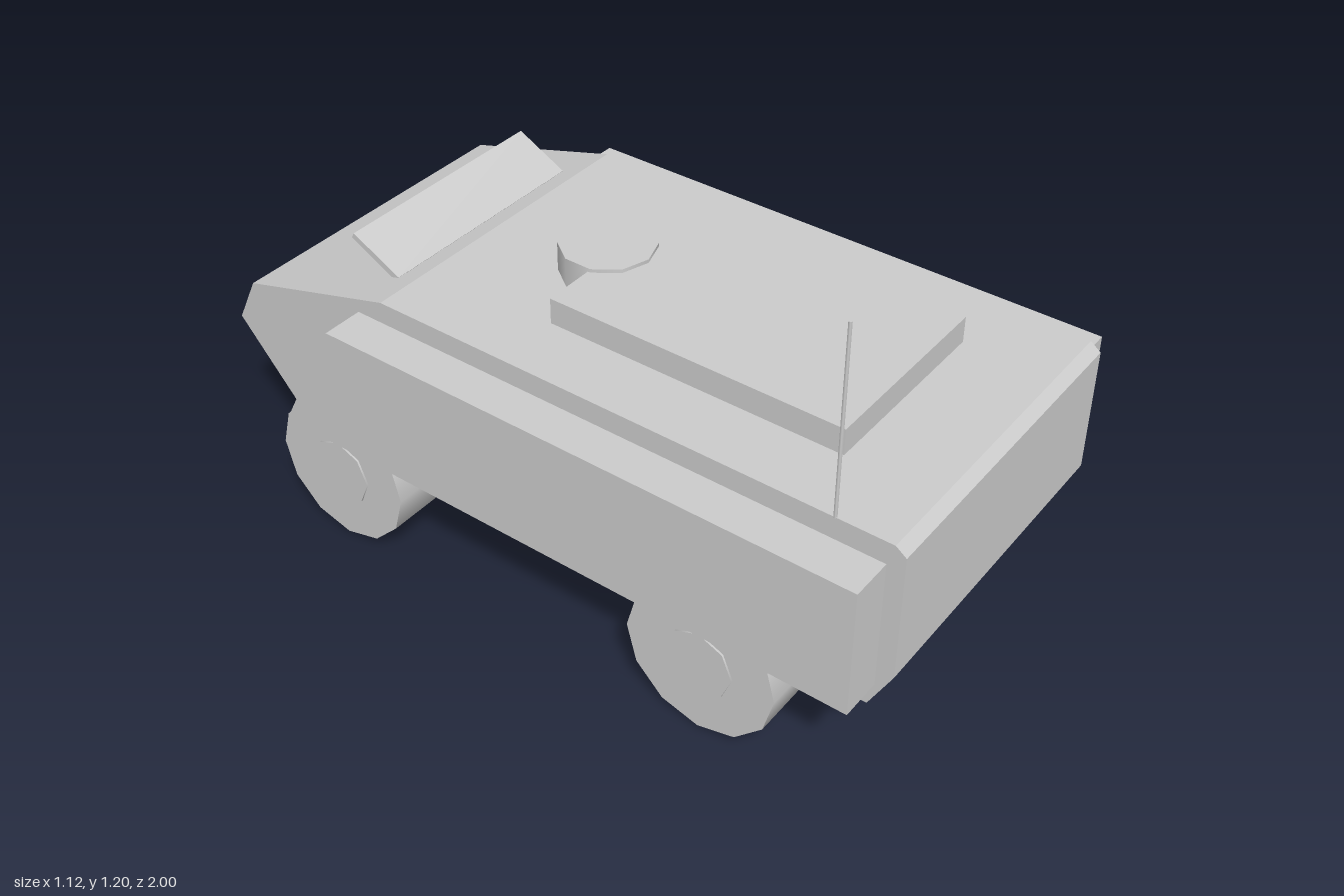
import * as THREE from 'three';

export function createModel() {
  const model = new THREE.Group();
  model.name = 'armouredVehicle';
  const grey = new THREE.MeshStandardMaterial({ color: 0xcccccc });
  grey.name = 'plain grey';

  const add = (name, geometry, x = 0, y = 0, z = 0) => {
    const mesh = new THREE.Mesh(geometry, grey);
    mesh.name = name;
    mesh.position.set(x, y, z);
    model.add(mesh);
    return mesh;
  };

  // Side profile of [z, y] points, extruded across x and centred
  const slab = (points, width) => {
    const shape = new THREE.Shape(points.map(p => new THREE.Vector2(...p)));
    return new THREE.ExtrudeGeometry(shape, { depth: width, bevelEnabled: false })
      .translate(0, 0, -width / 2)
      .rotateY(-Math.PI / 2);
  };

  // Hull with a sloped nose
  add('hull', slab([
    [0.94, 0.228], [1, 0.343], [1, 0.686], [0.972, 0.707], [-0.47, 0.707],
    [-0.935, 0.575], [-1, 0.445], [-0.81, 0.228],
  ], 0.89));

  // Roof hatch, round cupola and raised visor plate
  add('roofHatch', new THREE.BoxGeometry(0.524, 0.08, 0.82), 0, 0.738, 0.323);
  add('cupola', new THREE.CylinderGeometry(0.125, 0.125, 0.1, 10), 0, 0.738, -0.118);
  add('visorPlate', new THREE.BoxGeometry(0.646, 0.017, 0.163), 0, 0.722, -0.602).rotation.x = 0.477;

  // Antenna
  add('antenna', new THREE.CylinderGeometry(0.005, 0.005, 0.5, 6), -0.442, 0.955, 0.825);

  for (const side of [-1, 1]) {
    const label = side > 0 ? 'left' : 'right';

    // Side sponson and lamp
    add(label + 'Sponson', slab([
      [0.955, 0.296], [0.955, 0.647], [-0.55, 0.647], [-0.715, 0.335], [-0.733, 0.296],
    ], 0.123), side * 0.4965);
    add(label + 'Lamp', new THREE.BoxGeometry(0.095, 0.045, 0.028), side * 0.352, 0.368, -0.985);

    // Wheels with shallow hubs
    for (const [end, z] of [['Front', 0.563], ['Rear', -0.56]]) {
      const tyre = new THREE.CylinderGeometry(0.205, 0.205, 0.165, 12).rotateZ(Math.PI / 2);
      const hub = new THREE.CylinderGeometry(0.093, 0.093, 0.173, 8).rotateZ(Math.PI / 2);
      // Turn each so that a corner points straight down
      add(label + end + 'Wheel', tyre, side * 0.468, 0.206, z);
      add(label + end + 'Hub', hub, side * 0.469, 0.206, z);
    }
  }
  return model;
}
